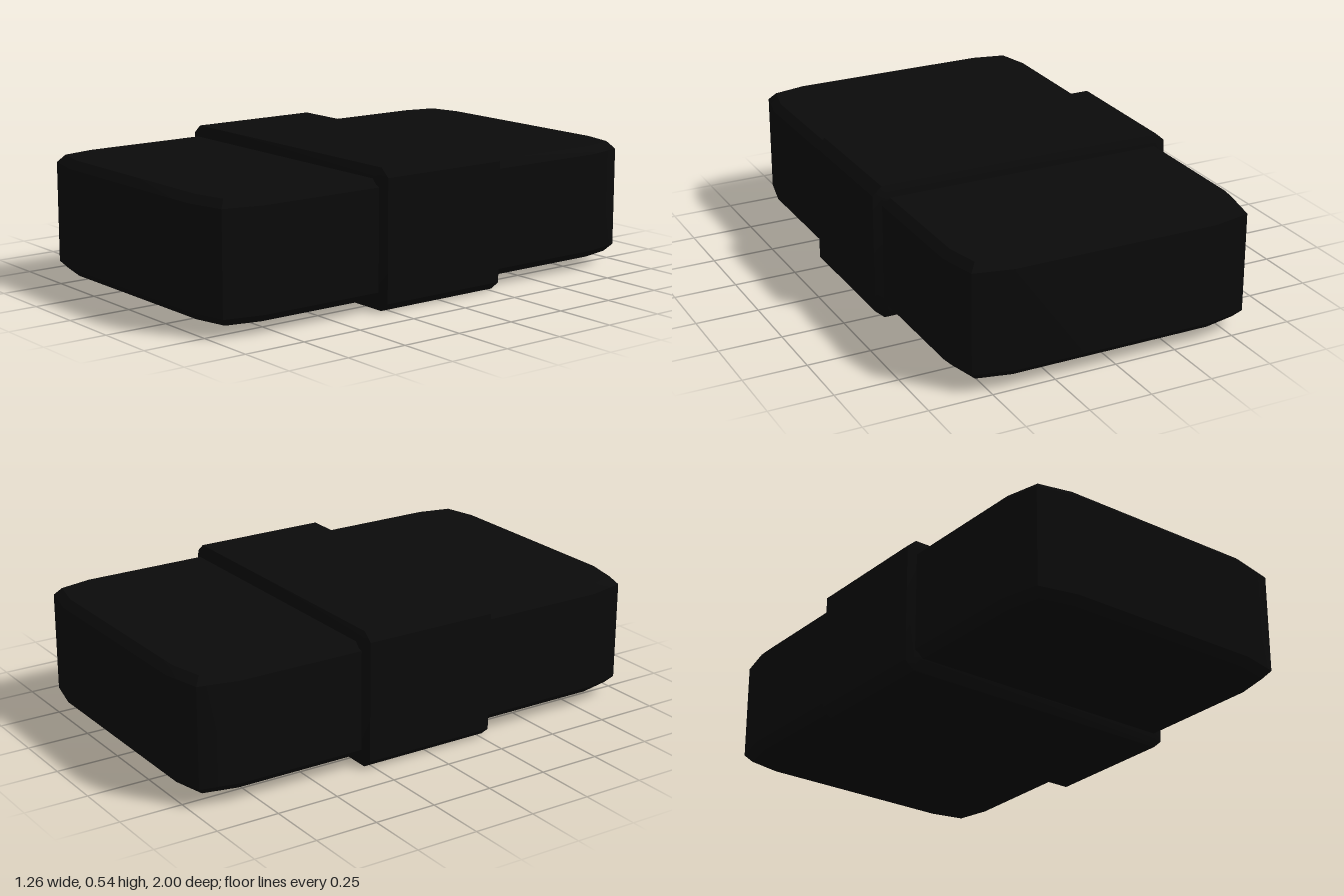
import * as THREE from 'three';
import { toCreasedNormals } from 'three/addons/utils/BufferGeometryUtils.js';

const material = new THREE.MeshStandardMaterial({ color: 0x0a0a0a });

// Closed outline mirrored into all four quadrants from its +x +y corner points
function mirroredShape(corner) {
  const back = [...corner].reverse();
  return new THREE.Shape([
    ...corner.map(([x, y]) => new THREE.Vector2(x, y)),
    ...back.map(([x, y]) => new THREE.Vector2(-x, y)),
    ...corner.map(([x, y]) => new THREE.Vector2(-x, -y)),
    ...back.map(([x, y]) => new THREE.Vector2(x, -y)),
  ]);
}

// Chamfered slab centred on the origin; the outline is its outermost edge
function chamferedSlab(corner, length, inset, chamfer) {
  const geometry = new THREE.ExtrudeGeometry(mirroredShape(corner), {
    depth: length - 2 * chamfer,
    bevelEnabled: true,
    bevelSegments: 1,
    bevelSize: inset,
    bevelOffset: -inset,
    bevelThickness: chamfer,
  });
  geometry.translate(0, 0, chamfer - length / 2);
  return geometry;
}

function addPart(group, name, geometry, y) {
  const mesh = new THREE.Mesh(toCreasedNormals(geometry, 0.6), material);
  mesh.name = name;
  mesh.position.y = y;
  group.add(mesh);
}

export function createModel() {
  const group = new THREE.Group();
  group.name = 'bandedBlock';

  // Long block with rounded corners, lying flat
  const body = chamferedSlab([[0.6, 0.81], [0.565, 0.965], [0.41, 1]], 0.455, 0.03, 0.03);
  body.rotateX(-Math.PI / 2);
  addPart(group, 'body', body, 0.2725);

  // Raised band wrapped around the middle
  const band = chamferedSlab([[0.63, 0.237], [0.592, 0.27]], 0.6, 0.04, 0.025);
  addPart(group, 'band', band, 0.27);

  return group;
}
